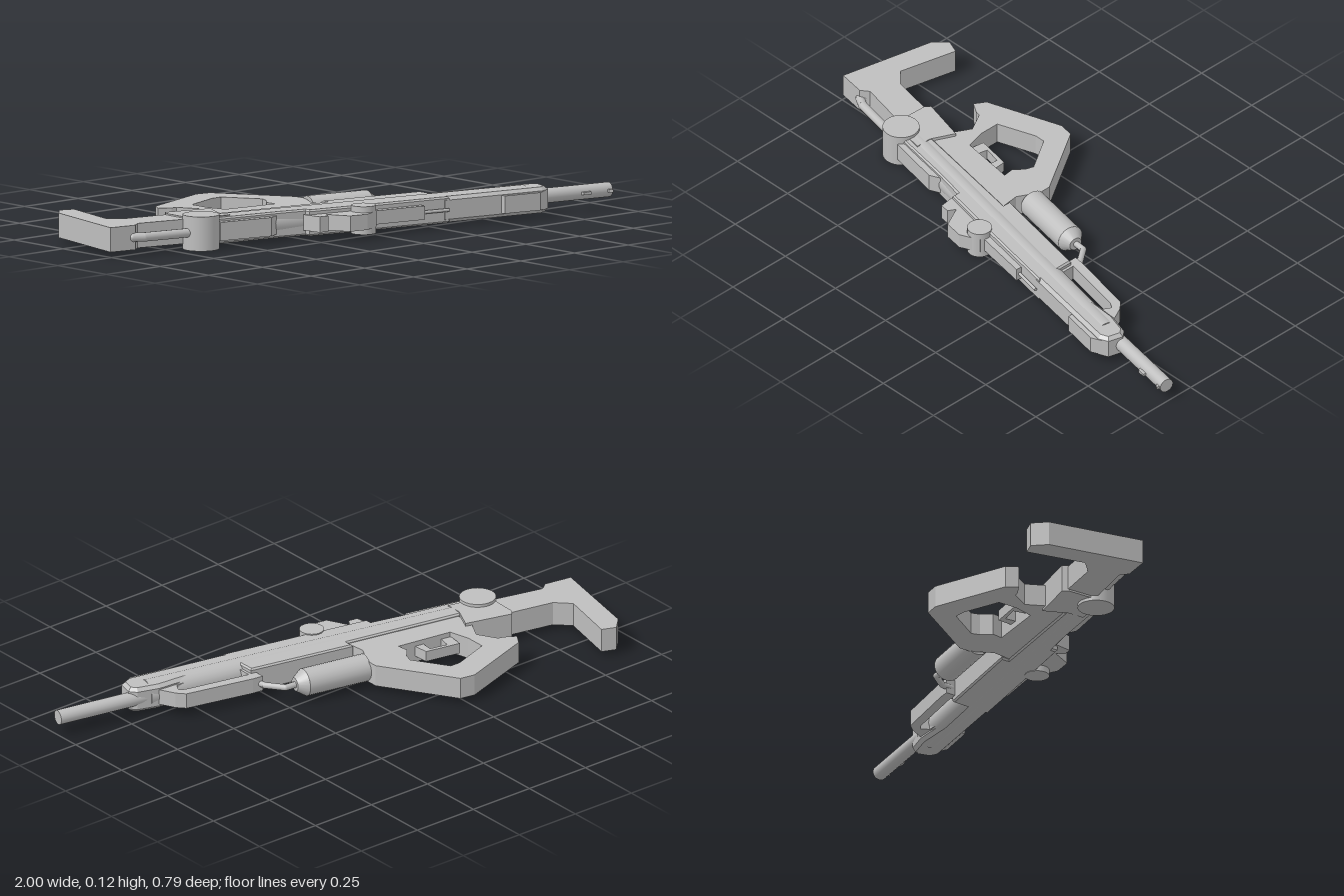
import * as THREE from 'three';

export function createModel() {
  const model = new THREE.Group();
  const grey = new THREE.MeshStandardMaterial({ color: 0xbebebe, flatShading: true });
  grey.name = 'grey metal';
  const smooth = new THREE.MeshStandardMaterial({ color: 0xbebebe });
  smooth.name = 'round grey metal';
  const MID = 0.061;
  const v = (x, z, y = MID) => new THREE.Vector3(x, y, z);

  function add(name, geometry, material = grey) {
    const mesh = new THREE.Mesh(geometry, material);
    mesh.name = name;
    model.add(mesh);
    return mesh;
  }

  // Plate with an outline in x, z, standing from y0 to y1
  function slab(name, outline, y0, y1, bevel = 0, holes = []) {
    // Outlines run counter-clockwise so that hole walls face inwards
    const points = (list) => {
      const p = list.map(([x, z]) => new THREE.Vector2(x, -z));
      return THREE.ShapeUtils.isClockWise(p) ? p.reverse() : p;
    };
    const shape = new THREE.Shape(points(outline));
    shape.holes = holes.map((h) => new THREE.Path(points(h).reverse()));
    const g = new THREE.ExtrudeGeometry(shape, {
      depth: y1 - y0 - 2 * bevel, bevelEnabled: bevel > 0, bevelThickness: bevel,
      bevelSize: bevel, bevelOffset: -bevel, bevelSegments: 1,
    });
    g.rotateX(-Math.PI / 2).translate(0, y0 + bevel, 0);
    return add(name, g);
  }

  // Round bar between two points
  function rod(name, a, b, r0, r1 = r0, sides = 20) {
    const d = b.clone().sub(a);
    const mesh = add(name, new THREE.CylinderGeometry(r1, r0, d.length(), sides), smooth);
    mesh.position.copy(a).add(b).multiplyScalar(0.5);
    mesh.quaternion.setFromUnitVectors(new THREE.Vector3(0, 1, 0), d.normalize());
  }

  function disc(name, x, z, r, y0, y1) {
    rod(name, v(x, z, y0), v(x, z, y1), r, r, 28);
  }

  // Bent bar: straight rods with a ball at each bend
  function pipe(name, points, r) {
    for (let i = 1; i < points.length; i++) {
      rod(name, points[i - 1], points[i], r, r, 12);
      if (i < points.length - 1) {
        add(name + 'Bend', new THREE.SphereGeometry(r, 12, 8), smooth).position.copy(points[i]);
      }
    }
  }

  // Stock with its butt and lower strut
  slab('stock', [[-0.88, -0.4], [-0.83, -0.38], [-0.88, -0.165], [-0.83, -0.115], [-0.6, -0.068],
    [-0.6, 0.06], [-0.68, 0.035], [-0.87, -0.01], [-0.9, 0.012], [-1, -0.005], [-0.925, -0.355]], 0.018, 0.104);
  pipe('stockStrut', [v(-0.89, -0.01), v(-0.905, 0.005), v(-0.87, 0.025), v(-0.66, 0.07)], 0.016);

  // Receiver
  slab('receiverRear', [[-0.675, -0.08], [-0.66, -0.1], [-0.49, -0.055], [-0.53, 0.03], [-0.53, 0.09], [-0.68, 0.06]],
    0.011, 0.109);
  slab('receiver', [[-0.6, 0.01], [-0.52, 0.02], [-0.09, 0.1], [-0.09, 0.07], [0.3, 0.15], [0.3, 0.303],
    [0, 0.243], [-0.25, 0.19], [-0.25, 0.168], [-0.36, 0.142], [-0.66, 0.085]], 0.014, 0.106, 0.006);
  slab('lowerPanel', [[-0.6, 0.06], [-0.36, 0.11], [-0.36, 0.142], [-0.4, 0.16], [-0.6, 0.118]], 0.028, 0.093);
  rod('barrelShroud', v(-0.58, 0.05), v(0.64, 0.308), 0.049);

  // Grip, trigger guard and trigger
  slab('grip', [[-0.58, -0.225], [-0.555, -0.265], [-0.28, -0.36], [-0.225, -0.35], [-0.06, -0.09], [-0.06, -0.045],
    [-0.1, 0.03], [-0.09, 0.12], [-0.52, 0.03], [-0.52, -0.05], [-0.48, -0.125], [-0.52, -0.195], [-0.54, -0.2]],
  0.02, 0.098, 0, [[[-0.44, -0.205], [-0.3, -0.255], [-0.26, -0.255], [-0.18, -0.13], [-0.19, -0.1],
    [-0.22, -0.065], [-0.215, -0.025], [-0.42, -0.055], [-0.44, -0.13]]]);
  slab('triggerGuard', [[-0.415, -0.115], [-0.285, -0.09], [-0.28, -0.02], [-0.425, -0.04]], 0.042, 0.08, 0,
    [[[-0.375, -0.095], [-0.31, -0.08], [-0.315, -0.035], [-0.385, -0.05]]]);

  // Front canister and its feed pipe
  rod('canister', v(-0.07, -0.02), v(0.165, 0.026), 0.049);
  rod('canisterNose', v(0.165, 0.026), v(0.2, 0.033), 0.049, 0.024);
  pipe('feedPipe', [v(0.19, 0.03), v(0.24, 0.035), v(0.285, 0.095), v(0.29, 0.14)], 0.011);

  // Fore-end, slotted rail and lower front block
  slab('foreEnd', [[0.28, 0.203], [0.48, 0.245], [0.62, 0.255], [0.7, 0.28], [0.72, 0.305], [0.705, 0.36],
    [0.67, 0.375], [0.28, 0.3]], 0.015, 0.106, 0.012);
  slab('slottedRail', [[0.28, 0.11], [0.32, 0.115], [0.57, 0.172], [0.595, 0.2], [0.63, 0.27], [0.28, 0.23]],
    0.033, 0.089, 0, [[[0.31, 0.15], [0.55, 0.202], [0.57, 0.215], [0.555, 0.243], [0.48, 0.242], [0.31, 0.208]]]);
  slab('frontBlock', [[0.505, 0.32], [0.67, 0.35], [0.685, 0.37], [0.645, 0.388], [0.505, 0.36]], 0.03, 0.092);

  // Barrel and small sights
  rod('barrel', v(0.6, 0.283), v(0.992, 0.357), 0.026);
  slab('frontSight', [[0.965, 0.36], [0.985, 0.364], [0.98, 0.394], [0.968, 0.385]], 0.056, 0.066);
  slab('barrelLug', [[0.86, 0.345], [0.9, 0.353], [0.895, 0.376], [0.865, 0.37]], 0.056, 0.066);

  // Aiming device on the lower side
  slab('sightMount', [[-0.26, 0.17], [-0.02, 0.23], [-0.02, 0.28], [-0.09, 0.312], [-0.16, 0.3], [-0.2, 0.22],
    [-0.215, 0.248], [-0.25, 0.243]], 0.034, 0.089);
  disc('smallKnob', -0.053, 0.25, 0.043, 0.012, 0.11);
  slab('sightBody', [[-0.03, 0.215], [0.19, 0.262], [0.185, 0.302], [-0.03, 0.262]], 0.038, 0.086);
  rod('sightRod', v(0.15, 0.28), v(0.29, 0.31), 0.006, 0.006, 10);

  // Large side dial
  disc('largeDial', -0.64, 0.063, 0.064, 0, 0.12);
  return model;
}
